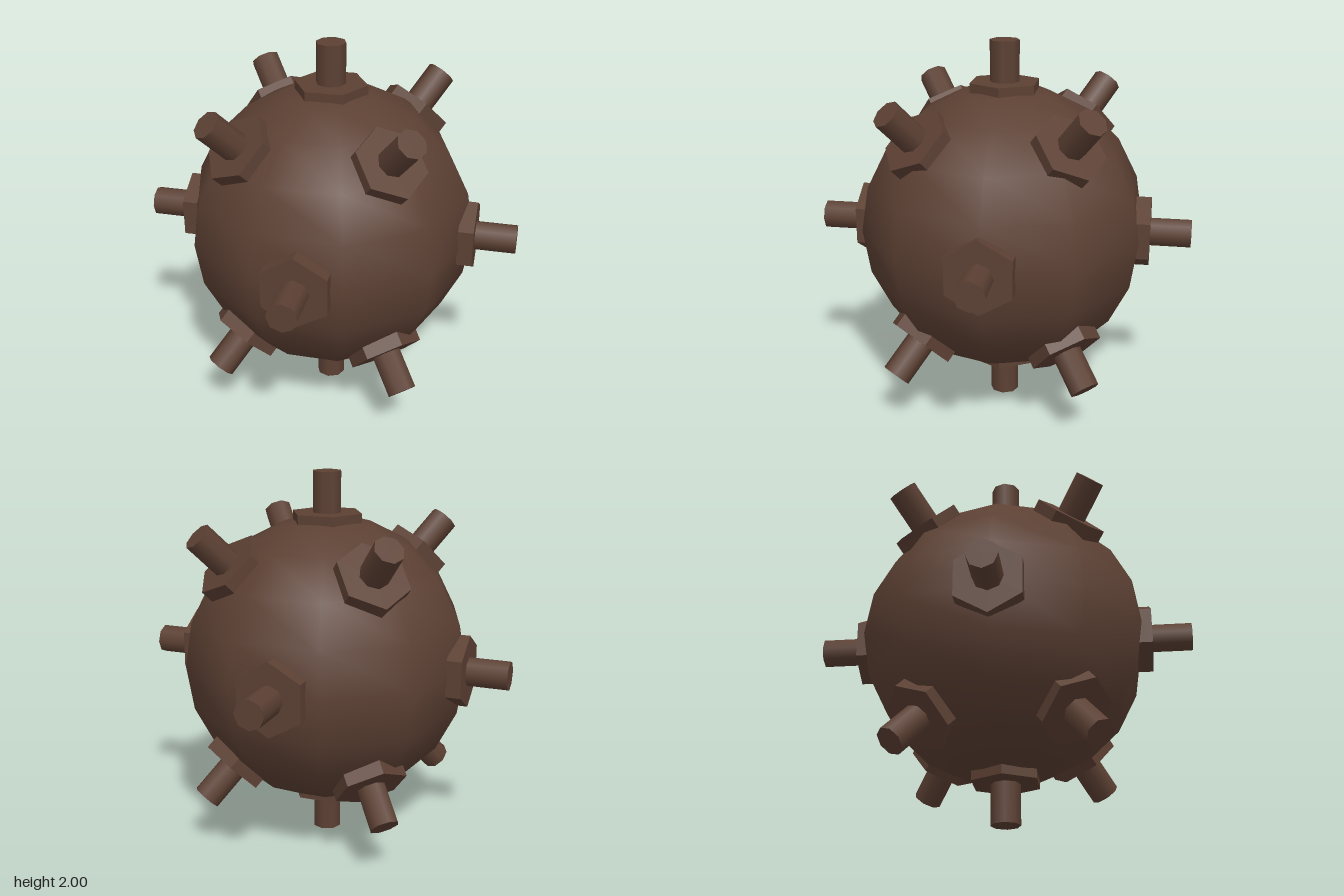
import * as THREE from 'three';

export function createModel() {
  const brown = new THREE.MeshStandardMaterial({ color: 0x5c4033 });
  const model = new THREE.Group();
  model.name = 'studdedBall';

  // Round body, ten sides around and ten rings, smooth shaded
  const body = new THREE.Mesh(new THREE.SphereGeometry(0.768, 10, 10), brown);
  body.name = 'body';
  body.position.y = 1;
  model.add(body);

  // Hexagonal plate with hard edges, and round stud, both pointing along +y
  const plateGeometry = new THREE.CylinderGeometry(0.193, 0.193, 0.08, 6).toNonIndexed();
  plateGeometry.computeVertexNormals();
  plateGeometry.translate(0, 0.746, 0);
  const studGeometry = new THREE.CylinderGeometry(0.078, 0.078, 0.3, 8);
  studGeometry.translate(0, 0.85, 0);

  // Tilts a plate and its stud down from the top, then turns them around y
  function addSpike(tilt, turn) {
    const spike = new THREE.Group();
    spike.name = 'spike';
    const plate = new THREE.Mesh(plateGeometry, brown);
    plate.name = 'hexPlate';
    const stud = new THREE.Mesh(studGeometry, brown);
    stud.name = 'stud';
    spike.add(plate, stud);
    spike.position.y = 1;
    spike.rotation.set(tilt, turn, 0, 'YXZ');
    model.add(spike);
  }

  // Top and bottom
  addSpike(0, Math.PI / 2);
  addSpike(Math.PI, Math.PI / 2);

  // Four around the equator, and four diagonal ones above and below
  for (let i = 0; i < 4; i++) {
    const turn = (i * Math.PI) / 2;
    addSpike(Math.PI / 2, turn);
    addSpike(Math.PI / 4, turn + Math.PI / 4);
    addSpike((3 * Math.PI) / 4, turn + Math.PI / 4);
  }
  return model;
}
